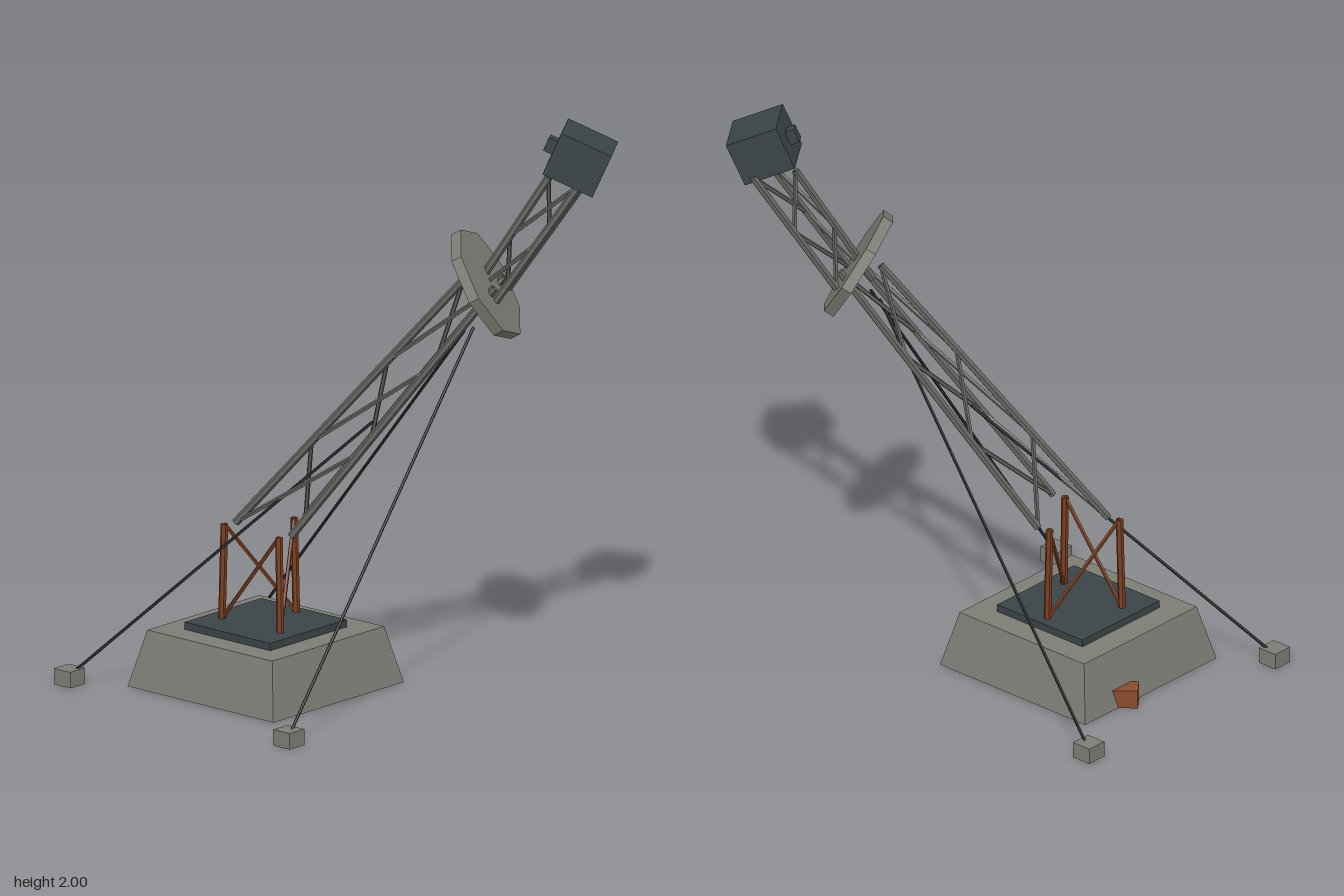
import * as THREE from 'three';

const V = (x, y, z) => new THREE.Vector3(x, y, z);
const material = (name, color) => {
  const m = new THREE.MeshStandardMaterial({ color, flatShading: true });
  m.name = name;
  return m;
};

export function createModel() {
  const concrete = material('concrete', 0x7d7d76);
  const steel = material('weathered steel', 0x63645f);
  const slate = material('dark slate metal', 0x3a4446);
  const rust = material('rust', 0x7c4020);
  const rubble = material('rusty scrap', 0x8a4a2a);
  const cable = material('cable', 0x2b2e2e);

  const model = new THREE.Group();
  model.name = 'leaningMast';

  const add = (parent, name, geometry, mat, x = 0, y = 0, z = 0) => {
    const mesh = new THREE.Mesh(geometry, mat);
    mesh.name = name;
    mesh.position.set(x, y, z);
    parent.add(mesh);
    return mesh;
  };

  // Straight rod between two points
  const rod = (parent, name, a, b, radius, mat, sides = 6) => {
    const dir = b.clone().sub(a);
    const mesh = add(parent, name, new THREE.CylinderGeometry(radius, radius, dir.length(), sides), mat);
    mesh.position.copy(a).lerp(b, 0.5);
    mesh.quaternion.setFromUnitVectors(V(0, 1, 0), dir.normalize());
  };

  // Three-legged lattice: legs plus one diagonal per face in every bay
  const lattice = (name, bottom, top, bays, legRadius, braceRadius, mat) => {
    const group = new THREE.Group();
    group.name = name;
    model.add(group);
    const node = (leg, level) => bottom[leg % 3].clone().lerp(top[leg % 3], level / bays);
    for (let i = 0; i < 3; i++) {
      rod(group, 'leg', bottom[i], top[i], legRadius, mat);
      for (let k = 0; k < bays; k++) {
        rod(group, 'diagonalBrace', node(i, k), node(i + 1, k + 1), braceRadius, mat, 5);
      }
    }
  };

  // Orients a mesh: its y axis leans by tilt towards the heading (hx, hz)
  const lean = (mesh, hx, hz, tilt) => {
    const h = V(hx, 0, hz).normalize();
    const up = h.clone().multiplyScalar(Math.sin(tilt)).add(V(0, Math.cos(tilt), 0));
    const along = h.clone().multiplyScalar(Math.cos(tilt)).add(V(0, -Math.sin(tilt), 0));
    const side = along.clone().cross(up);
    mesh.quaternion.setFromRotationMatrix(new THREE.Matrix4().makeBasis(along, up, side));
  };

  // Tapered foundation and mounting plate
  const foundation = new THREE.CylinderGeometry(0.283 * Math.SQRT2, 0.33 * Math.SQRT2, 0.197, 4);
  foundation.rotateY(Math.PI / 4);
  add(model, 'foundation', foundation, concrete, -0.25, 0.0985, 0.105);
  add(model, 'mountingPlate', new THREE.BoxGeometry(0.388, 0.026, 0.388), slate, -0.25, 0.21, 0.105);

  // Upright rusted stub of the mast
  lattice('rustedStub',
    [V(-0.381, 0.222, 0.18), V(-0.117, 0.222, 0.18), V(-0.248, 0.222, -0.047)],
    [V(-0.373, 0.555, 0.177), V(-0.125, 0.555, 0.177), V(-0.249, 0.555, -0.038)],
    1, 0.013, 0.007, rust);

  // Snapped, leaning mast sections
  lattice('lowerMast',
    [V(-0.344, 0.56, 0.153), V(-0.092, 0.56, 0.153), V(-0.217, 0.56, -0.06)],
    [V(0.316, 1.45, -0.262), V(0.458, 1.45, -0.262), V(0.387, 1.45, -0.39)],
    3, 0.014, 0.008, steel);
  lattice('upperMast',
    [V(0.335, 1.4, -0.28), V(0.455, 1.4, -0.27), V(0.38, 1.4, -0.415)],
    [V(0.53, 1.81, -0.455), V(0.67, 1.81, -0.455), V(0.6, 1.81, -0.59)],
    2, 0.014, 0.008, steel);

  // Octagonal platform
  const platform = add(model, 'platform', new THREE.CylinderGeometry(0.205, 0.205, 0.038, 8), concrete, 0.39, 1.443, -0.293);
  lean(platform, 0.862, -0.51, 1.047);

  // Equipment box at the tip with a small fitting on one side
  const head = new THREE.Group();
  head.name = 'headBox';
  head.position.set(0.633, 1.889, -0.5);
  lean(head, 0.82, -0.57, 0.42);
  model.add(head);
  add(head, 'housing', new THREE.BoxGeometry(0.186, 0.16, 0.184), slate);
  add(head, 'sideFitting', new THREE.BoxGeometry(0.04, 0.05, 0.04), slate, -0.105, 0, 0);

  // Guy cables with ground anchors
  const guys = [
    [V(-0.745, 0.03, -0.39), V(0.36, 1.29, -0.218)],
    [V(-0.745, 0.03, 0.545), V(0.06, 0.94, -0.09)],
    [V(0.3, 0.03, 0.603), V(0.4, 1.31, -0.22)],
  ];
  for (const [anchor, end] of guys) {
    add(model, 'groundAnchor', new THREE.BoxGeometry(0.075, 0.056, 0.075), concrete, anchor.x, 0.028, anchor.z);
    rod(model, 'guyCable', anchor, end, 0.0055, cable, 5);
  }

  // Scrap block beside the foundation
  add(model, 'scrapBlock', new THREE.BoxGeometry(0.1, 0.065, 0.071), rubble, -0.57, 0.0325, -0.02).rotation.y = 0.69;

  return model;
}
